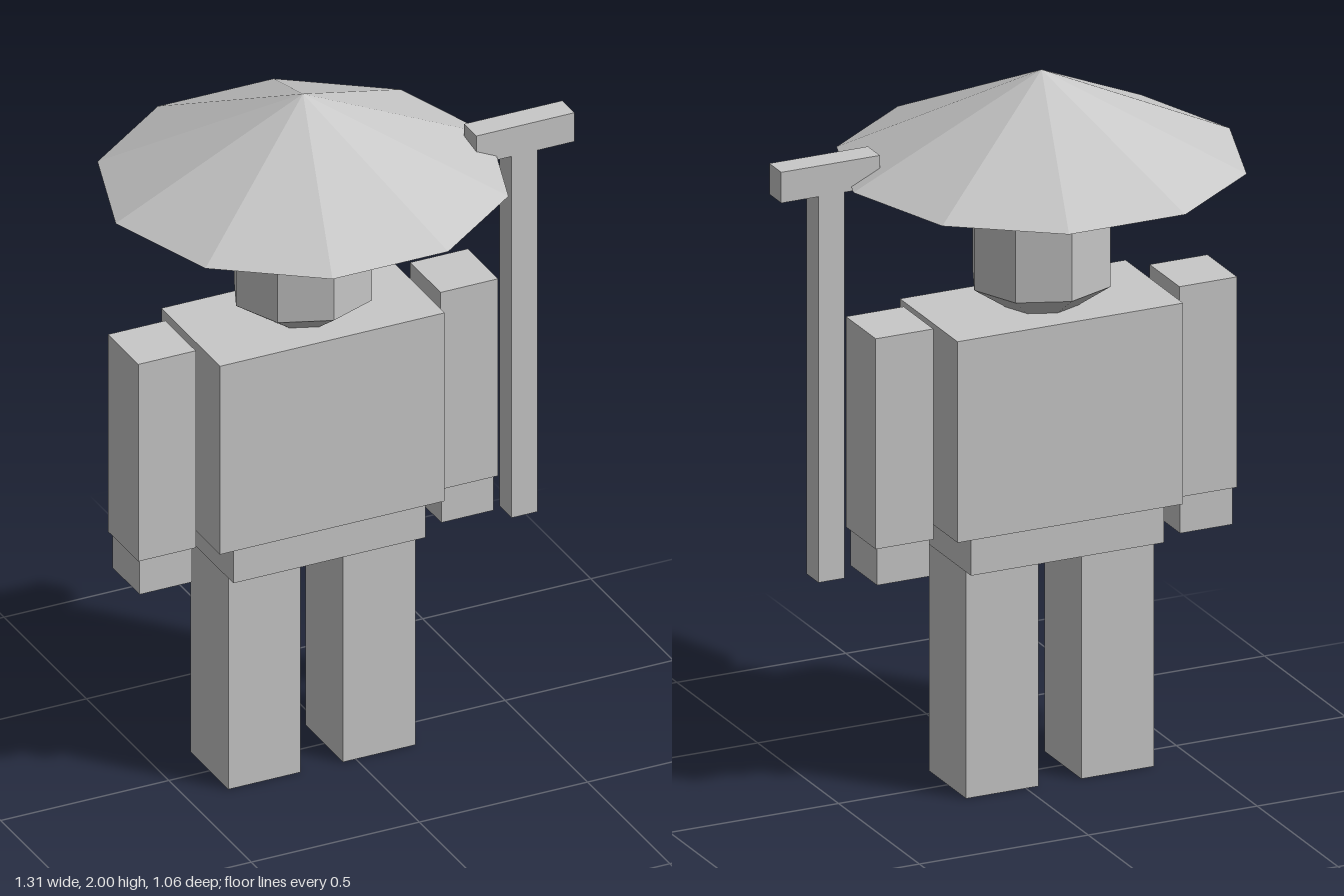
import * as THREE from 'three';

export function createModel() {
  const model = new THREE.Group();
  model.name = 'farmerFigure';
  const grey = new THREE.MeshStandardMaterial({ color: 0xc8c8c8, flatShading: true });
  grey.name = 'lightGrey';

  const add = (name, geometry, x, y, z) => {
    const mesh = new THREE.Mesh(geometry, grey);
    mesh.name = name;
    mesh.position.set(x, y, z);
    model.add(mesh);
    return mesh;
  };
  // Box given by its extents along each axis
  const box = (name, [x0, x1], [y0, y1], [z0, z1]) =>
    add(name, new THREE.BoxGeometry(x1 - x0, y1 - y0, z1 - z0),
      (x0 + x1) / 2, (y0 + y1) / 2, (z0 + z1) / 2);

  // The body sits off-centre to make room for the tool
  const cx = -0.101;
  box('torso', [cx - 0.334, cx + 0.334], [0.763, 1.338], [-0.178, 0.178]);
  box('hips', [cx - 0.286, cx + 0.286], [0.655, 0.763], [-0.161, 0.161]);

  // Paired limbs
  for (const [side, s] of [['left', 1], ['right', -1]]) {
    const span = (a, b) => [cx + s * a, cx + s * b].sort((p, q) => p - q);
    box(side + 'Leg', span(0.063, 0.278), [0, 0.655], [-0.114, 0.114]);
    box(side + 'Arm', span(0.364, 0.535), [0.748, 1.35], [-0.092, 0.092]);
    box(side + 'Hand', span(0.371, 0.526), [0.64, 0.748], [-0.082, 0.082]);
  }

  // Faceted head: an eight-sided, three-band sphere
  const head = add('head', new THREE.SphereGeometry(1, 8, 3), cx, 1.536, 0);
  head.scale.set(0.23, 0.27, 0.216);

  // Wide conical hat with ten sides, a corner on each side of the body
  const hat = add('hat', new THREE.ConeGeometry(0.557, 0.26, 10), cx, 1.87, 0);
  hat.rotation.y = Math.PI / 2;

  // Long-handled tool beside the left arm
  box('toolHandle', [0.463, 0.54], [0.624, 1.728], [0.041, 0.115]);
  box('toolHead', [0.358, 0.65], [1.728, 1.816], [0.041, 0.115]);

  return model;
}
